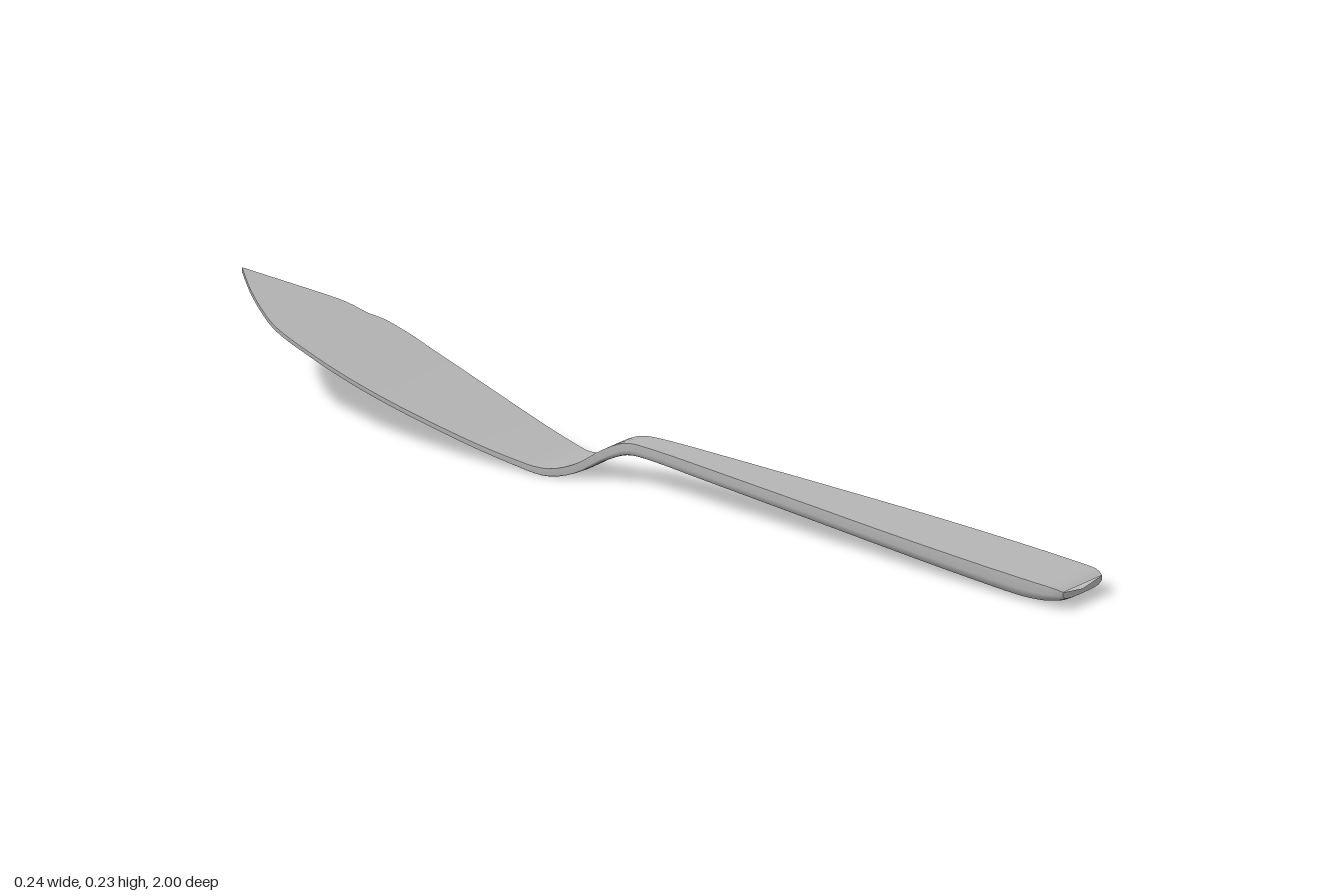
import * as THREE from 'three';

// Outline and height tables: [z, value], running from handle end to blade tip
const LEFT = [[1, 0.06], [0.985, 0.067], [0.95, 0.07], [0.8, 0.07], [0.6, 0.064], [0.4, 0.053], [0.2, 0.041], [0, 0.029],
  [-0.08, 0.026], [-0.12, 0.03], [-0.18, 0.048], [-0.24, 0.068], [-0.3, 0.079], [-0.4, 0.094], [-0.55, 0.111], [-0.68, 0.119]];
const BACK_EDGE = [[-0.71, 0.118], [-0.75, 0.113], [-0.775, 0.101], [-0.81, 0.096], [-0.84, 0.086], [-0.91, 0.051], [-1, 0.005]];
const ROUND_EDGE = [[-0.78, 0.116], [-0.83, 0.108], [-0.87, 0.091], [-0.94, 0.046], [-1, -0.004]];
const TOP = [[1, 0.04], [0.985, 0.046], [0.95, 0.049], [0.5, 0.073], [0.1, 0.092], [-0.02, 0.096], [-0.07, 0.092], [-0.12, 0.068],
  [-0.17, 0.034], [-0.22, 0.018], [-0.28, 0.024], [-0.4, 0.05], [-0.6, 0.104], [-0.8, 0.168], [-1, 0.229]];
const BOTTOM = [[1, 0.022], [0.985, 0.014], [0.95, 0.006], [0.9, 0.003], [0.8, 0.009], [0.5, 0.031], [0.1, 0.058], [-0.02, 0.066],
  [-0.07, 0.064], [-0.12, 0.043], [-0.17, 0.014], [-0.22, 0.002], [-0.28, 0.011], [-0.4, 0.039], [-0.6, 0.094], [-0.8, 0.159], [-1, 0.22]];

// Smooth curve through a table
function sample(table, z) {
  const n = table.length;
  let i = 0;
  while (i < n - 2 && z < table[i + 1][0]) i++;
  const slope = (k) => {
    const a = table[Math.max(k - 1, 0)], b = table[Math.min(k + 1, n - 1)];
    return (b[1] - a[1]) / (b[0] - a[0]);
  };
  const [z0, v0] = table[i], [z1, v1] = table[i + 1];
  const h = z1 - z0, t = (z - z0) / h, t2 = t * t, t3 = t2 * t;
  return (2 * t3 - 3 * t2 + 1) * v0 + (t3 - 2 * t2 + t) * h * slope(i)
    + (3 * t2 - 2 * t3) * v1 + (t3 - t2) * h * slope(i + 1);
}

// Half sections as [across, down]: rounded for the handle, flat for the blade
const ROUND = [[0, 0], [0, 0.45], [0.03, 0.68], [0.09, 0.84], [0.2, 0.95], [0.35, 0.99], [0.5, 1]];
const FLAT = [[0, 0], [0, 0.9], [0.012, 1], [0.08, 1], [0.2, 1], [0.35, 1], [0.5, 1]];

function section(z) {
  const xMin = -sample([...LEFT, ...ROUND_EDGE], z), xMax = sample([...LEFT, ...BACK_EDGE], z);
  const top = sample(TOP, z), bottom = sample(BOTTOM, z);
  const k = 1 - THREE.MathUtils.smoothstep(z, -0.25, 0);
  const half = ROUND.map(([u, v], i) => [
    THREE.MathUtils.lerp(u, FLAT[i][0], k), THREE.MathUtils.lerp(v, FLAT[i][1], k)]);
  const under = [...half.map(([u, v]) => [1 - u, v]), ...half.slice(0, -1).reverse()];
  const place = ([u, v]) => new THREE.Vector3(
    THREE.MathUtils.lerp(xMin, xMax, u), THREE.MathUtils.lerp(top, bottom, v), z);
  return { top: [0, 0.25, 0.5, 0.75, 1].map((u) => place([u, 0])), under: under.map(place) };
}

// Smooth skin over rows of points
function skin(rows) {
  const w = rows[0].length, index = [];
  for (let i = 0; i < rows.length - 1; i++) {
    for (let j = 0; j < w - 1; j++) {
      const a = i * w + j, b = a + w;
      index.push(a, a + 1, b, a + 1, b + 1, b);
    }
  }
  const g = new THREE.BufferGeometry().setFromPoints(rows.flat());
  g.setIndex(index);
  g.computeVertexNormals();
  return g;
}

export function createModel() {
  const group = new THREE.Group();
  group.name = 'spreadingKnife';
  const steel = new THREE.MeshStandardMaterial({ color: 0xb5b5b5, side: THREE.DoubleSide });
  steel.name = 'brushed steel';
  const add = (name, geometry) => {
    const mesh = new THREE.Mesh(geometry, steel);
    mesh.name = name;
    group.add(mesh);
  };

  // Stations along the length, closer together at the rounded end
  const stations = [1, 0.995, 0.99, 0.98, 0.965];
  for (let i = 0; i <= 130; i++) stations.push(0.95 - 1.95 * i / 130);
  const parts = { handle: [], neck: [], blade: [] };
  stations.forEach((z) => {
    const s = section(z);
    if (z >= 0.05) parts.handle.push(s);
    else if (z >= -0.24) parts.neck.push(s);
    else parts.blade.push(s);
  });
  const all = [...parts.handle, ...parts.neck, ...parts.blade];

  // Flat upper face and wrapped underside meet at a crisp edge
  add('upperFace', skin(all.map((s) => s.top)));
  add('sidesAndUnderside', skin(all.map((s) => s.under)));

  // Cap closing the handle end
  const rim = all[0].under;
  const hub = new THREE.Vector3(0, 0.031, 1.0);
  add('handleEnd', skin([rim.map(() => hub), rim]));
  return group;
}
